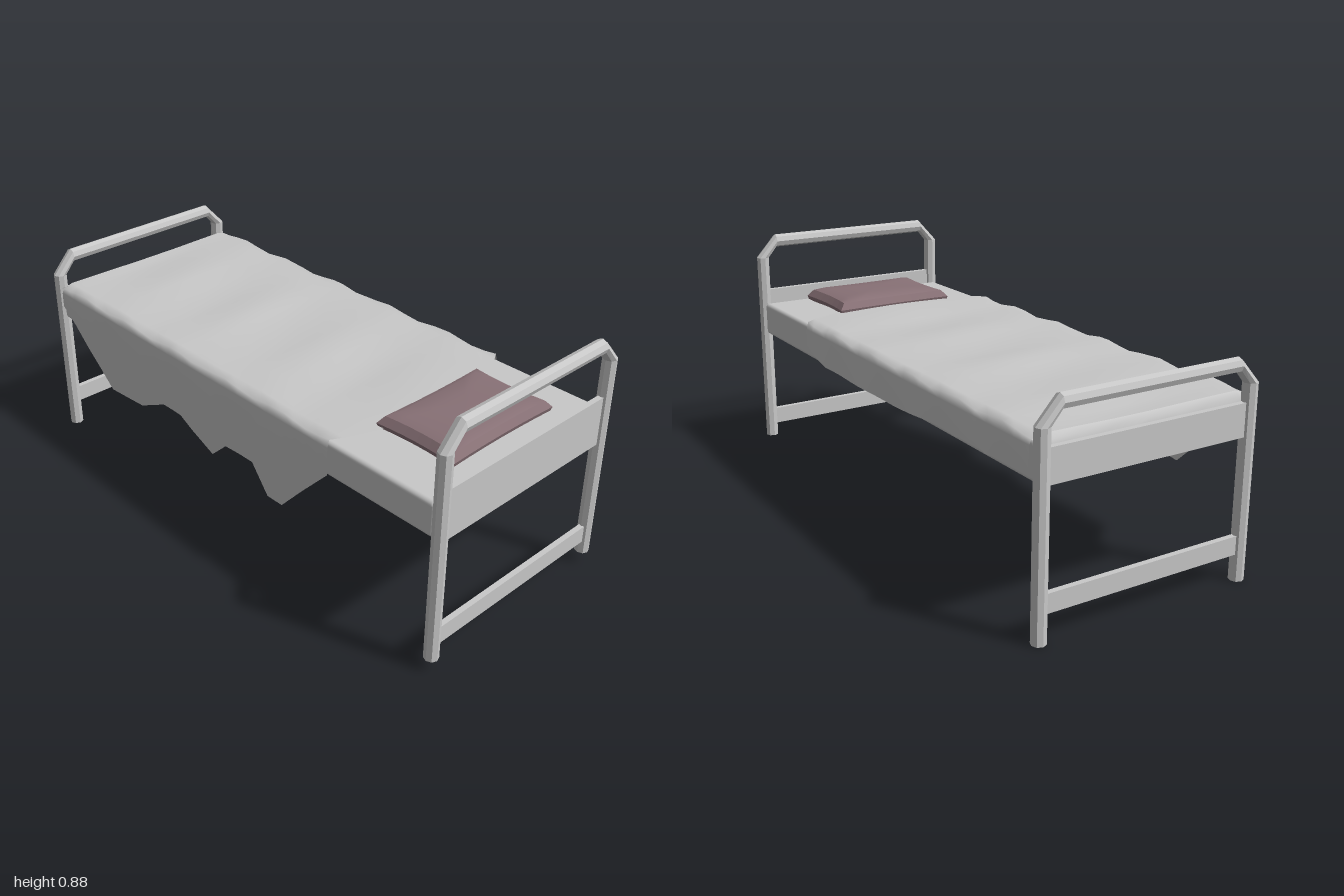
import * as THREE from 'three';
import { RoundedBoxGeometry } from 'three/addons/geometries/RoundedBoxGeometry.js';

// Surface through a grid of rows; each row is a list of [x, y, z]
function loft(rows, smooth, closed = false) {
  const n = rows[0].length, idx = [];
  for (let i = 0; i < rows.length - 1; i++) {
    for (let j = 0; j < (closed ? n : n - 1); j++) {
      const a = i * n + j, b = i * n + (j + 1) % n;
      idx.push(a, a + n, b, b, a + n, b + n);
    }
  }
  let geo = new THREE.BufferGeometry();
  geo.setAttribute('position', new THREE.Float32BufferAttribute(rows.flat(2), 3));
  geo.setIndex(idx);
  if (!smooth) geo = geo.toNonIndexed();
  geo.computeVertexNormals();
  return geo;
}

// Octagonal tube in the xy plane; each path point is [x, y, tangentX, tangentY]
function bentTube(path, r) {
  const rings = path.map(([x, y, tx, ty]) => Array.from({ length: 8 }, (_, k) => {
    const a = -k * Math.PI / 4;
    return [x - ty * r * Math.cos(a), y + tx * r * Math.cos(a), r * Math.sin(a)];
  }));
  const cap = ([x, y]) => Array(8).fill([x, y, 0]);
  return loft([cap(path[0]), ...rings, cap(path[path.length - 1])], false, true);
}

// Piecewise linear lookup in [z, y] pairs with rising z
function lookup(table, z) {
  if (z <= table[0][0]) return table[0][1];
  for (let i = 1; i < table.length; i++) {
    const [z0, y0] = table[i - 1], [z1, y1] = table[i];
    if (z <= z1) return y0 + (y1 - y0) * (z - z0) / (z1 - z0);
  }
  return table[table.length - 1][1];
}

export function createModel() {
  const group = new THREE.Group();
  const grey = new THREE.MeshStandardMaterial({ color: 0xc8c8c8 });
  grey.name = 'pale grey';
  const cloth = new THREE.MeshStandardMaterial({ color: 0xc8c8c8, side: THREE.DoubleSide });
  cloth.name = 'blanket grey';
  const mauve = new THREE.MeshStandardMaterial({ color: 0x887176 });
  mauve.name = 'dusty mauve';

  const add = (name, geo, mat, parent = group) => {
    const mesh = new THREE.Mesh(geo, mat);
    mesh.name = name;
    parent.add(mesh);
    return mesh;
  };

  // End frames: bent tube, board and low crossbar
  function endFrame(name, z, base, top, boardLow, boardHigh) {
    const frame = new THREE.Group();
    frame.name = name;
    frame.position.z = z;
    group.add(frame);
    const bend = top - 0.063;
    add(name + 'Tube', bentTube([[-0.386, base, 0, 1], [-0.386, bend, 0, 1], [-0.33, top, 1, 0],
      [0.33, top, 1, 0], [0.386, bend, 0, -1], [0.386, base, 0, -1]], 0.025), grey, frame);
    const plank = (part, low, high) => {
      add(name + part, new THREE.BoxGeometry(0.74, high - low, 0.02), grey, frame)
        .position.y = (low + high) / 2;
    };
    plank('Board', boardLow, boardHigh);
    plank('Crossbar', 0.093, 0.157);
  }
  endFrame('head', 0.975, 0.045, 0.86, 0.488, 0.665);
  endFrame('foot', -0.975, 0, 0.725, 0.488, 0.6);

  // Mattress
  add('mattress', new RoundedBoxGeometry(0.79, 0.125, 1.91, 3, 0.015), grey).position.y = 0.55;

  // Blanket: long ragged hem on the right, short hem on the left
  const longHem = [[-0.95, 0.55], [-0.86, 0.49], [-0.72, 0.36], [-0.65, 0.295], [-0.45, 0.315],
    [-0.32, 0.375], [-0.22, 0.375], [-0.04, 0.3], [0.03, 0.365], [0.17, 0.37],
    [0.25, 0.275], [0.32, 0.275], [0.42, 0.385], [0.53, 0.5]];
  const shortHem = [[-0.94, 0.52], [-0.72, 0.505], [-0.65, 0.525], [-0.55, 0.505],
    [-0.45, 0.51], [-0.15, 0.49], [0.37, 0.49], [0.43, 0.505], [0.53, 0.54]];
  const stations = [-0.94, -0.9, -0.86, -0.79, -0.72, -0.65, -0.55, -0.45, -0.385, -0.32, -0.27, -0.22,
    -0.15, -0.04, 0.03, 0.1, 0.17, 0.25, 0.32, 0.37, 0.42, 0.48, 0.53];
  const across = [-0.36, -0.24, -0.12, 0, 0.12, 0.24, 0.36];
  const rows = stations.map(z => {
    const wave = 0.005 * Math.sin(z * 17);
    const left = lookup(shortHem, z), right = lookup(longHem, z);
    const reach = z > 0.4 ? 0.07 * (z - 0.4) / 0.13 : 0;
    const edge = 0.623 + 0.007 * Math.sin(z * 23 + 1);
    const top = across.map(x => [x,
      0.628 + 0.007 * Math.sin(z * 16 + x * 1.5) * (0.6 + 0.4 * Math.cos(x * 9)),
      z + reach * Math.min(1, (0.41 - Math.abs(x)) / 0.15)]);
    return [
      [-0.406 + wave * 0.6, right, z], [-0.406 + wave * 0.3, (right + 0.6) / 2, z],
      [-0.405, 0.6, z], [-0.397, edge, z], ...top,
      [0.397, edge, z], [0.404, 0.6, z], [0.406 + wave * 0.6, left, z],
    ];
  });
  add('blanket', loft(rows, true), cloth);

  // Blanket flap hanging at the foot, joined to the blanket's last row
  const seam = rows[0].slice(3, 12);
  const fold = seam.map(([x]) => [x, 0.612, -0.96]);
  const flap = seam.map(([x], i) => [x, 0.575 + 0.012 * Math.sin(i * 2.1), -0.963]);
  add('blanketFootFlap', loft([flap, fold, seam], true), cloth);

  // Pillow: stacked four-sided rings with drawn-in sides and pointed corners
  const pillowRing = ([w, d, y]) => Array.from({ length: 24 }, (_, k) => {
    const side = Math.floor(k / 6), t = (k % 6) / 3 - 1;
    const pull = 1 - 0.04 * (1 - t * t);
    const [u, v] = [[t, pull], [pull, -t], [-t, -pull], [-pull, t]][side];
    return [w * u, y, 0.73 + d * v];
  }).reverse();
  const underside = [[0, 0, 0.612], [0.21, 0.13, 0.612], [0.235, 0.152, 0.626]];
  const band = [[0.235, 0.152, 0.626], [0.238, 0.156, 0.64], [0.217, 0.139, 0.664]];
  const cushion = [[0.217, 0.139, 0.664], [0.18, 0.115, 0.674], [0.09, 0.06, 0.677], [0, 0, 0.677]];
  add('pillowUnderside', loft(underside.map(pillowRing), false, true), mauve);
  add('pillowSides', loft(band.map(pillowRing), false, true), mauve);
  add('pillowTop', loft(cushion.map(pillowRing), true, true), mauve);

  return group;
}
